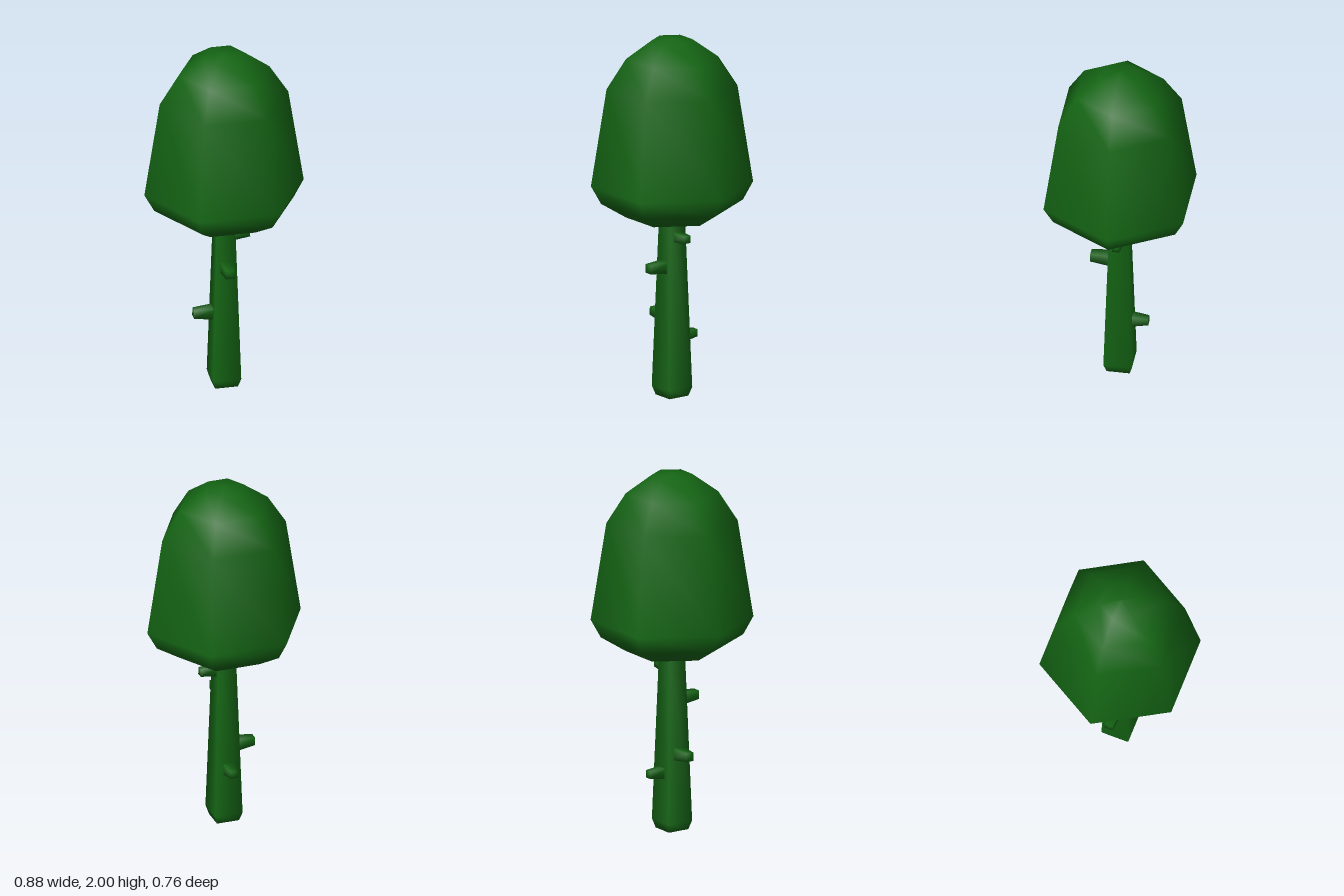
import * as THREE from 'three';

const green = new THREE.MeshStandardMaterial({ color: 0x146414 });

// Smooth-shaded prism turned from [radius, y] pairs, listed bottom to top
function turned(name, profile, sides, phase, scale = 1) {
  const points = profile.map(([r, y]) => new THREE.Vector2(r * scale, y));
  const mesh = new THREE.Mesh(new THREE.LatheGeometry(points, sides, phase), green);
  mesh.name = name;
  return mesh;
}

// Square section: radii are half-widths, flats face the axes
const square = (name, profile) => turned(name, profile, 4, Math.PI / 4, Math.SQRT2);

export function createModel() {
  const tree = new THREE.Group();
  tree.name = 'tree';

  // Hexagonal crown with corners on the x axis
  tree.add(turned('crown', [
    [0, 1], [0.25, 1], [0.385, 1.08], [0.44, 1.18], [0.355, 1.72],
    [0.25, 1.885], [0.11, 1.985], [0, 2],
  ], 6, Math.PI / 2));

  // Tapered square trunk with a bevelled foot
  tree.add(square('trunk', [[0, 0], [0.063, 0], [0.078, 0.05], [0.049, 1.03], [0, 1.03]]));

  // Branch stubs: name, heading, height, reach, base half-width, tip half-width
  const stubs = [
    ['leftStub', Math.PI / 2, 0.893, 0.14, 0.028, 0.02],
    ['frontStub', 0, 0.724, 0.16, 0.034, 0.024],
    ['rightStub', -Math.PI / 2, 0.433, 0.17, 0.036, 0.023],
    ['backStub', Math.PI, 0.322, 0.157, 0.034, 0.02],
  ];
  for (const [name, heading, y, reach, base, tip] of stubs) {
    const stub = square(name, [[0, 0.03], [base, 0.03], [tip, reach], [0, reach]]);
    stub.rotation.set(Math.PI / 2 - 0.03, heading, 0, 'YXZ');
    stub.position.y = y;
    tree.add(stub);
  }
  return tree;
}
